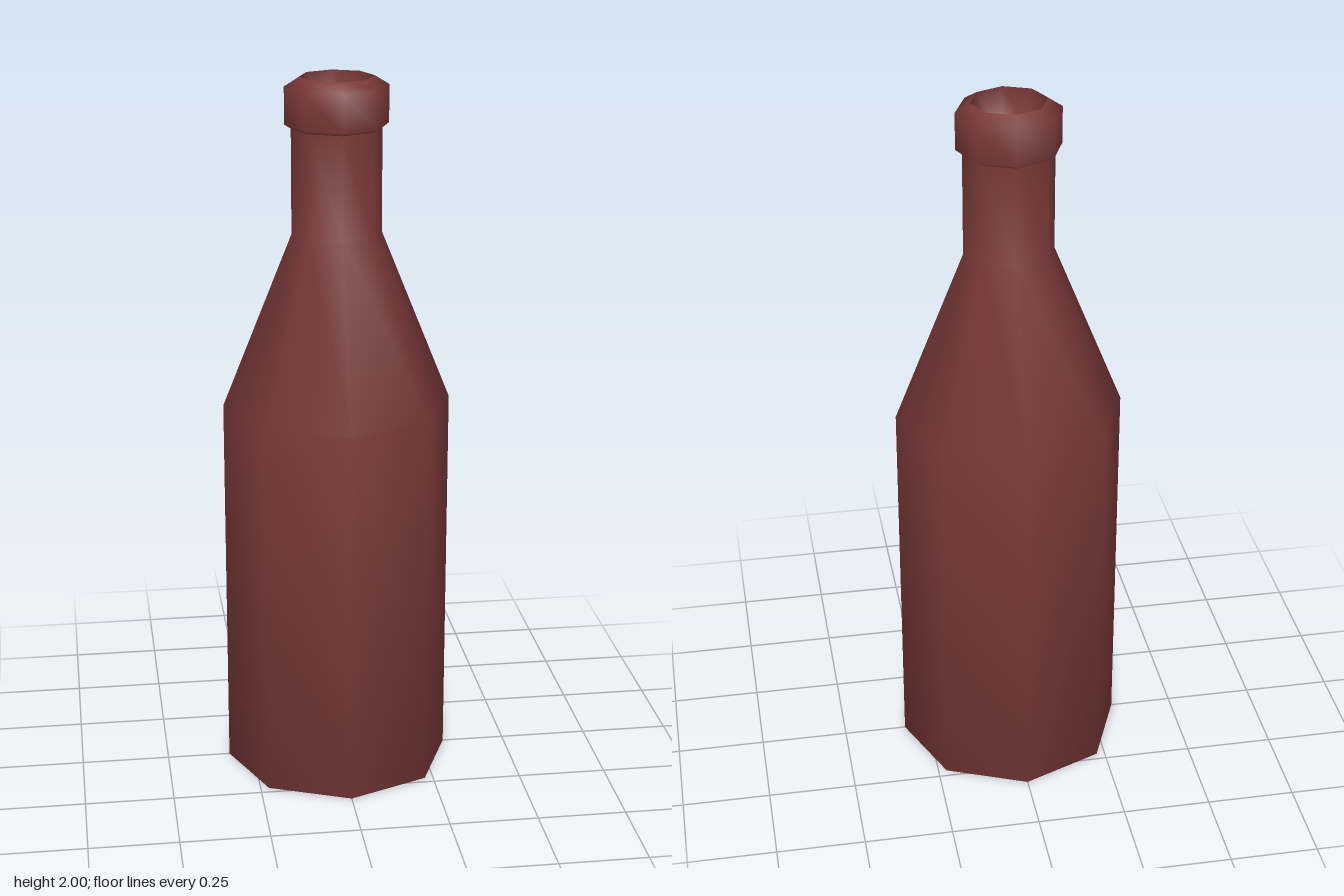
import * as THREE from 'three';

const SIDES = 8;

export function createModel() {
  const group = new THREE.Group();
  group.name = 'bottle';
  const glass = new THREE.MeshStandardMaterial({ color: 0x7a3838 });

  // Revolve [radius, height] pairs into a smooth-shaded octagonal part
  const addLathe = (name, profile) => {
    const points = profile.map(([r, y]) => new THREE.Vector2(r, y));
    const mesh = new THREE.Mesh(new THREE.LatheGeometry(points, SIDES), glass);
    mesh.name = name;
    group.add(mesh);
  };

  // Flat base, straight body, sloping shoulder and narrow neck
  addLathe('body', [[0, 0], [0.32, 0], [0.32, 1.085], [0.125, 1.57], [0.125, 1.865]]);

  // Collar around the mouth, chamfered above and below
  addLathe('lip', [[0.122, 1.86], [0.143, 1.872], [0.143, 1.975], [0.103, 2]]);

  // Hollow mouth with a closed floor
  addLathe('mouth', [[0.103, 2], [0.1, 1.87], [0, 1.86]]);

  return group;
}
